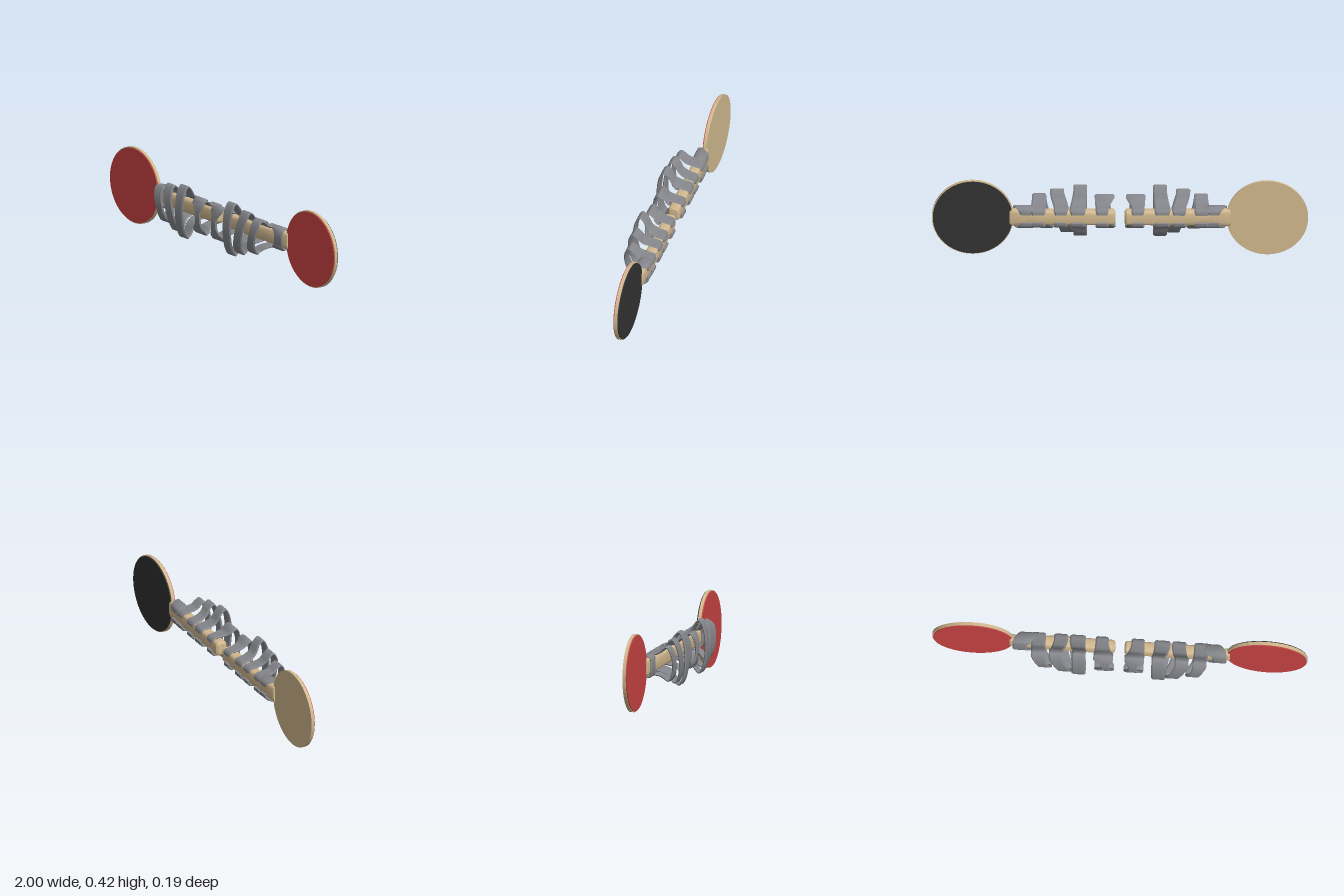
import * as THREE from 'three';
import { toCreasedNormals } from 'three/addons/utils/BufferGeometryUtils.js';

const CY = 0.21;   // height of the long axis
const CZ = -0.05;  // depth of the handle axis

const mat = (name, color) => {
  const m = new THREE.MeshStandardMaterial({ color });
  m.name = name;
  return m;
};

// Closed solid through a list of rings (arrays of Vector3), always facing outward
function loft(rings, crease) {
  const n = rings[0].length, pos = rings.flat().flatMap(p => [p.x, p.y, p.z]);
  const idx = [];
  for (let i = 0; i < rings.length - 1; i++) {
    for (let j = 0; j < n; j++) {
      const a = i * n + j, b = i * n + (j + 1) % n;
      idx.push(a, b, a + n, b, b + n, a + n);
    }
  }
  const last = (rings.length - 1) * n;
  for (let j = 1; j < n - 1; j++) idx.push(0, j + 1, j, last, last + j, last + j + 1);
  const all = rings.flat();
  let volume = 0;
  for (let i = 0; i < idx.length; i += 3) {
    volume += all[idx[i]].dot(all[idx[i + 1]].clone().cross(all[idx[i + 2]]));
  }
  if (volume < 0) idx.reverse();
  const geo = new THREE.BufferGeometry();
  geo.setAttribute('position', new THREE.Float32BufferAttribute(pos, 3));
  geo.setIndex(idx);
  return toCreasedNormals(geo, crease);
}

// Rod with a rounded rectangular section; stations are [x, half height, half depth]
function handleGeometry(side) {
  const stations = [
    [0.025, 0.03, 0.022], [0.035, 0.041, 0.031], [0.28, 0.042, 0.032], [0.46, 0.042, 0.03],
    [0.52, 0.045, 0.024], [0.575, 0.048, 0.022], [0.588, 0.044, 0.018],
  ];
  const round = v => Math.sign(v) * Math.sqrt(Math.abs(v));
  return loft(stations.map(([x, hy, hz]) => Array.from({ length: 24 }, (_, j) => {
    const a = j / 24 * Math.PI * 2;
    return new THREE.Vector3(side * x, CY + hy * round(Math.sin(a)), CZ + hz * round(Math.cos(a)));
  })), 0.7);
}

// Strap swept along points [z, y, centre x, width]
function strapGeometry(side, points, thick) {
  const path = new THREE.CatmullRomCurve3(points.map(p => new THREE.Vector3(p[2], p[1], p[0])), false, 'centripetal');
  const steps = (points.length - 1) * 4, rings = [];
  for (let i = 0; i <= steps; i++) {
    const t = i / steps, f = t * (points.length - 1);
    const k = Math.min(Math.floor(f), points.length - 2);
    const w = THREE.MathUtils.lerp(points[k][3], points[k + 1][3], f - k);
    const p = path.getPoint(t), d = path.getTangent(t);
    const len = Math.hypot(d.y, d.z) || 1, ny = -d.z / len, nz = d.y / len;
    const section = [[-0.5, 0], [-0.4, 0.5], [0.4, 0.5], [0.5, 0], [0.4, -0.5], [-0.4, -0.5]];
    rings.push(section.map(([u, v]) => new THREE.Vector3(
      side * (p.x + u * w), p.y + v * thick * ny, p.z + v * thick * nz)));
  }
  return loft(rings, 0.6);
}

// Finger loop: clips behind the rod, bulges out and crosses in front of it
function loopPoints({ h, front, tab, tabW, top, bottom, mid, w, midW }) {
  const peak = front * 0.6;
  const half = (s, x) => [
    [-0.086, CY + s * 0.022, tab, tabW * 0.8],
    [-0.081, CY + s * 0.043, tab, tabW],
    [-0.045, CY + s * 0.051, tab, tabW],
    [0, CY + s * (0.055 + 0.2 * (h - 0.055)), (tab + x) / 2, (tabW + w) / 2],
    [peak * 0.55, CY + s * (0.055 + 0.75 * (h - 0.055)), x, w],
    [peak, CY + s * h, x, w],
    [front * 0.84, CY + s * h * 0.78, x, w],
    [front, CY + s * h * 0.3, mid + (x - mid) * 0.4, midW],
  ];
  return [...half(1, top), ...half(-1, bottom).reverse()];
}

const LOOPS = {
  thumbLoop: { h: 0.09, front: 0.067, tab: 0.095, tabW: 0.07, top: 0.083, bottom: 0.078, mid: 0.068, w: 0.105, midW: 0.045 },
  largeFingerLoop: { h: 0.14, front: 0.086, tab: 0.225, tabW: 0.085, top: 0.212, bottom: 0.212, mid: 0.212, w: 0.073, midW: 0.073 },
  middleFingerLoop: { h: 0.118, front: 0.08, tab: 0.315, tabW: 0.075, top: 0.335, bottom: 0.282, mid: 0.308, w: 0.075, midW: 0.072 },
  smallFingerLoop: { h: 0.092, front: 0.07, tab: 0.435, tabW: 0.08, top: 0.43, bottom: 0.392, mid: 0.412, w: 0.075, midW: 0.065 },
};

// Tight collar next to the disc, with arms reaching back along the rod
function collarPoints() {
  const half = s => [
    [-0.083, CY + s * 0.022, 0.5, 0.055],
    [-0.079, CY + s * 0.044, 0.5, 0.08],
    [-0.05, CY + s * 0.055, 0.505, 0.115],
    [-0.025, CY + s * 0.052, 0.515, 0.11],
    [-0.016, CY + s * 0.03, 0.53, 0.075],
  ];
  return [...half(1), ...half(-1).reverse()];
}

export function createModel() {
  const wood = mat('wood', 0xd2b98f), red = mat('red rubber', 0xc94343);
  const black = mat('black rubber', 0x323232), grey = mat('grey grip', 0x85868b);
  const model = new THREE.Group();
  model.name = 'doublePaddle';

  const add = (parent, name, geo, material) => {
    const mesh = new THREE.Mesh(geo, material);
    mesh.name = name;
    parent.add(mesh);
  };
  const disc = (side, rx, ry, z0, z1) => new THREE.CylinderGeometry(1, 1, z1 - z0, 64)
    .rotateX(Math.PI / 2).scale(rx, ry, 1).translate(side * 0.783, CY, (z0 + z1) / 2);

  for (const side of [1, -1]) {
    const half = new THREE.Group();
    half.name = side > 0 ? 'leftPaddle' : 'rightPaddle';
    model.add(half);

    // Blade with rubber faces; only the left blade has a covered back
    add(half, 'blade', disc(side, 0.217, 0.208, -0.06, -0.043), wood);
    add(half, 'frontRubber', disc(side, 0.212, 0.203, -0.043, -0.038), red);
    if (side > 0) add(half, 'backRubber', disc(side, 0.212, 0.203, -0.066, -0.06), black);

    add(half, 'handle', handleGeometry(side), wood);
    for (const [name, spec] of Object.entries(LOOPS)) {
      add(half, name, strapGeometry(side, loopPoints(spec), 0.012), grey);
    }
    add(half, 'collar', strapGeometry(side, collarPoints(), 0.011), grey);
  }
  return model;
}
